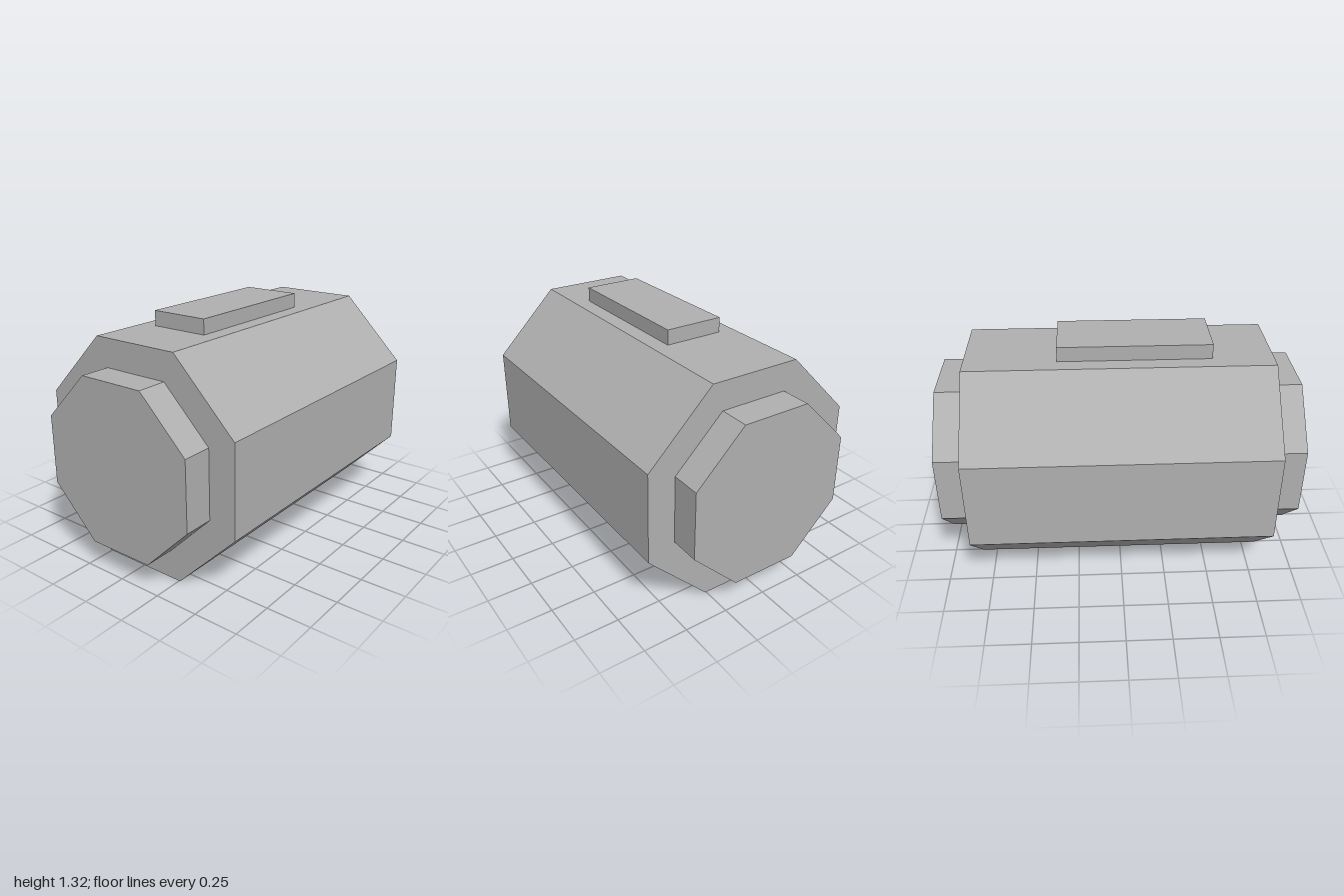
import * as THREE from 'three';

const CENTER_Y = 0.617;

// Octagonal prism lying along x: half extents and half lengths of the flat sides
function octagonPrism(halfZ, halfY, flatZ, flatY, length) {
  const shape = new THREE.Shape([
    [halfZ, -flatY], [halfZ, flatY], [flatZ, halfY], [-flatZ, halfY],
    [-halfZ, flatY], [-halfZ, -flatY], [-flatZ, -halfY], [flatZ, -halfY],
  ].map(([x, y]) => new THREE.Vector2(x, y)));
  const geometry = new THREE.ExtrudeGeometry(shape, { depth: length, bevelEnabled: false });
  return geometry.translate(0, 0, -length / 2).rotateY(Math.PI / 2);
}

export function createModel() {
  const model = new THREE.Group();
  model.name = 'octagonalBarrel';
  const grey = new THREE.MeshStandardMaterial({ color: 0xb0b0b0 });
  grey.name = 'grey';

  function add(name, geometry, x, y) {
    const mesh = new THREE.Mesh(geometry, grey);
    mesh.name = name;
    mesh.position.set(x, y, 0);
    model.add(mesh);
  }

  // Main drum
  add('body', octagonPrism(0.616, 0.617, 0.256, 0.255, 1.666), 0, CENTER_Y);

  // Smaller caps on both ends
  for (const side of [-1, 1]) {
    add(side > 0 ? 'leftCap' : 'rightCap',
      octagonPrism(0.463, 0.461, 0.193, 0.191, 0.167), side * 0.9165, CENTER_Y);
  }

  // Raised plate on top, set towards the right end
  add('topPlate', new THREE.BoxGeometry(0.833, 0.083, 0.333), -0.0835, 1.2755);

  return model;
}
